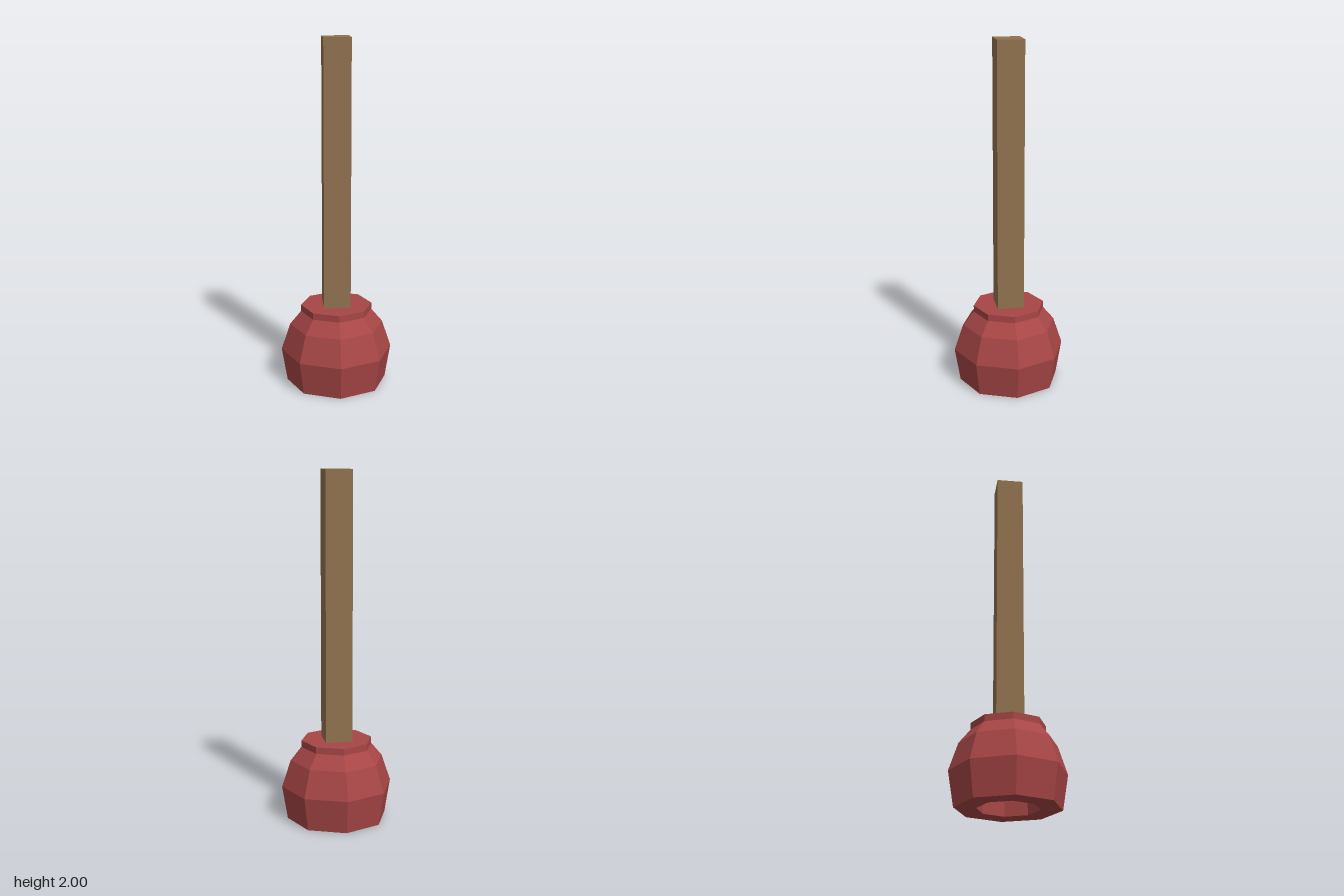
import * as THREE from 'three';

const rubberRed = new THREE.MeshStandardMaterial({ name: 'rubberRed', color: 0xa84646 });
const handleWood = new THREE.MeshStandardMaterial({ name: 'handleWood', color: 0x91724f });

export function createModel() {
  const group = new THREE.Group();
  group.name = 'plunger';

  // Eight-sided rubber cup: hollow inside, rim, bulging wall, collar, flat top
  const profile = [
    [0, 0.3], [0.17, 0.3], [0.17, 0], [0.29, 0], [0.322, 0.195],
    [0.27, 0.35], [0.206, 0.427], [0.206, 0.465], [0, 0.465],
  ].map(([r, y]) => new THREE.Vector2(r, y));
  const cupGeometry = new THREE.LatheGeometry(profile, 8).toNonIndexed();
  cupGeometry.computeVertexNormals(); // faceted
  const cup = new THREE.Mesh(cupGeometry, rubberRed);
  cup.name = 'rubberCup';
  group.add(cup);

  // Square wooden handle standing on the cup
  const bottom = 0.46, top = 2;
  const handle = new THREE.Mesh(new THREE.BoxGeometry(0.153, top - bottom, 0.153), handleWood);
  handle.position.y = (top + bottom) / 2;
  handle.name = 'handle';
  group.add(handle);

  return group;
}
